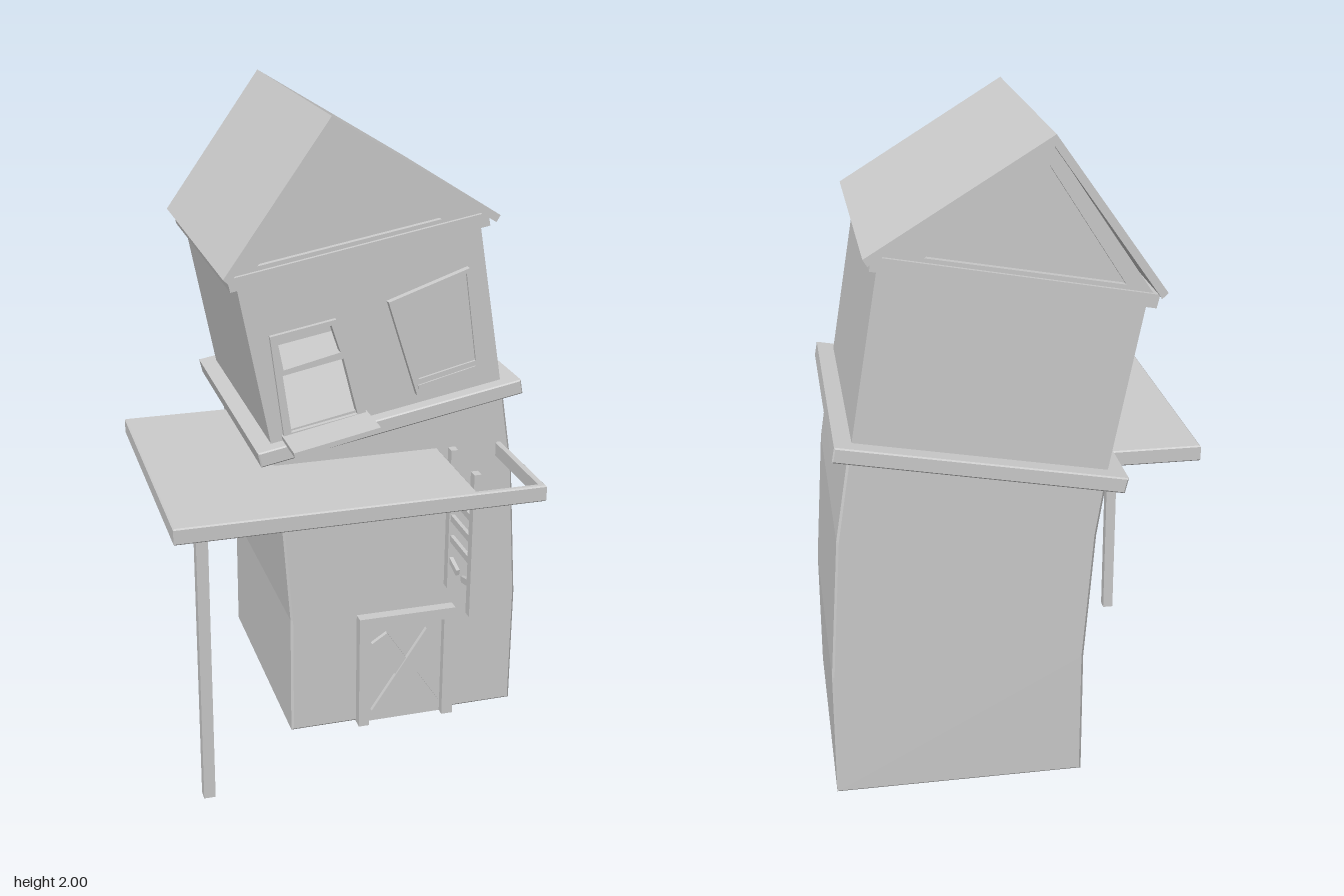
import * as THREE from 'three';

const mat = new THREE.MeshStandardMaterial({ color: 0xcccccc, flatShading: true, side: THREE.DoubleSide });

export function createModel() {
  const model = new THREE.Group();
  const add = (name, geo, parent = model) => {
    const m = new THREE.Mesh(geo, mat);
    m.name = name;
    parent.add(m);
    return m;
  };
  const v2 = pts => pts.map(p => new THREE.Vector2(p[0], p[1]));

  // Polygon in the front plane, swept from z0 to z1, with optional holes and chamfer
  const slab = (name, pts, z0, z1, holes = [], bevel = 0, parent = model) => {
    const shape = new THREE.Shape(v2(pts));
    holes.forEach(h => shape.holes.push(new THREE.Path(v2(h))));
    const geo = new THREE.ExtrudeGeometry(shape, {
      depth: z1 - z0 - 2 * bevel, bevelEnabled: bevel > 0,
      bevelSize: bevel, bevelThickness: bevel, bevelOffset: -bevel, bevelSegments: 1,
    });
    geo.translate(0, 0, z0 + bevel);
    return add(name, geo, parent);
  };
  // Box given by its minimum and maximum corners
  const box = (name, a, b, parent = model) => {
    const geo = new THREE.BoxGeometry(b[0] - a[0], b[1] - a[1], b[2] - a[2]);
    geo.translate((a[0] + b[0]) / 2, (a[1] + b[1]) / 2, (a[2] + b[2]) / 2);
    return add(name, geo, parent);
  };
  // Shrink a polygon towards its centre
  const inset = (pts, k) => {
    const cx = pts.reduce((s, p) => s + p[0], 0) / pts.length;
    const cy = pts.reduce((s, p) => s + p[1], 0) / pts.length;
    return pts.map(([x, y]) => [cx + (x - cx) * k, cy + (y - cy) * k]);
  };

  // Leaning lower storey
  slab('lowerStorey', [
    [-0.17, 0.02], [0.58, 0.02], [0.58, 0.42], [0.55, 0.86], [0.51, 1.11],
    [-0.225, 0.98], [-0.2, 0.82], [-0.17, 0.42],
  ], -0.55, 0.24, [], 0.007);

  // Tilted ledge between the storeys
  slab('storeyLedge', [[-0.267, 0.972], [0.555, 1.125], [0.547, 1.17], [-0.278, 1.018]], -0.6, 0.285, [], 0.004);

  // Hollow upper storey with an open window
  const upper = [[-0.222, 1.0], [0.5, 1.14], [0.41, 1.67], [-0.325, 1.53]];
  const openWindow = [[-0.19, 1.05], [0.065, 1.1], [-0.03, 1.402], [-0.23, 1.365]];
  const upperStorey = new THREE.Group();
  upperStorey.name = 'upperStorey';
  model.add(upperStorey);
  slab('sideWalls', upper, -0.53, 0.22, [inset(upper, 0.95)], 0, upperStorey);
  slab('backWall', upper, -0.55, -0.53, [], 0, upperStorey);
  slab('frontWall', upper, 0.22, 0.24, [inset(openWindow, 0.92)], 0, upperStorey);

  // Open window frame with two panes missing
  slab('openWindowFrame', openWindow, 0.225, 0.255, [
    [[-0.19, 1.26], [-0.017, 1.3], [-0.045, 1.385], [-0.208, 1.352]],
    [[-0.167, 1.062], [0.037, 1.1], [-0.008, 1.28], [-0.193, 1.243]],
  ]);
  slab('windowSill', [[-0.192, 1.036], [0.072, 1.09], [0.068, 1.105], [-0.195, 1.052]], 0.22, 0.388);

  // Crooked shuttered window
  const shutter = [[0.222, 1.143], [0.423, 1.19], [0.376, 1.528], [0.127, 1.442]];
  slab('shutterFrame', shutter, 0.23, 0.262, [
    [[0.226, 1.195], [0.406, 1.238], [0.367, 1.512], [0.142, 1.435]],
  ]);
  slab('shutterPanel', inset(shutter, 0.98), 0.23, 0.254);
  slab('shutterBar', [[0.225, 1.165], [0.408, 1.21], [0.405, 1.222], [0.222, 1.177]], 0.25, 0.267);

  // Tilted cornice below the roof
  slab('cornice', [[-0.345, 1.51], [0.435, 1.652], [0.427, 1.692], [-0.354, 1.548]], -0.572, 0.262);

  // Gable with a recessed panel on both ends
  const gable = [[-0.34, 1.547], [0.42, 1.688], [-0.055, 1.968]];
  const panel = [[-0.262, 1.578], [0.288, 1.678], [-0.047, 1.912]];
  slab('gable', gable, -0.54, 0.232);
  slab('gableFrameFront', gable, 0.232, 0.25, [panel]);
  slab('gableFrameBack', gable, -0.56, -0.54, [panel]);

  // Bent roof
  slab('roof', [
    [-0.372, 1.558], [-0.355, 1.542], [-0.053, 1.968], [0.44, 1.67], [0.452, 1.69], [-0.057, 2],
  ], -0.59, 0.295);

  // Boarded door
  const door = new THREE.Group();
  door.name = 'door';
  model.add(door);
  slab('doorFrame', [
    [0.045, 0.02], [0.08, 0.02], [0.08, 0.372], [0.328, 0.372], [0.328, 0.02], [0.365, 0.02], [0.365, 0.41], [0.045, 0.41],
  ], 0.23, 0.275, [], 0, door);
  box('doorPanel', [0.08, 0.02, 0.23], [0.328, 0.372, 0.25], door);
  [1, -1].forEach((s, i) => {
    const board = add('doorBoard', new THREE.BoxGeometry(0.06, 0.33, 0.014), door);
    board.position.set(0.205, 0.19, 0.257 + i * 0.005);
    board.rotation.z = s * 0.58;
  });

  // Platform around the corner with a ladder opening, drawn flat then laid down (shape y = -z)
  const deck = slab('platform', [[-0.59, -0.595], [0.51, -0.595], [0.51, 0.265], [-0.59, 0.265]],
    0.905, 0.955, [[[0.3, -0.575], [0.492, -0.575], [0.492, -0.22], [0.3, -0.22]]], 0.004);
  deck.rotation.x = -Math.PI / 2;
  box('platformPost', [-0.51, 0, 0.46], [-0.475, 0.91, 0.495]);

  // Broken ladder
  const ladder = new THREE.Group();
  ladder.name = 'ladder';
  model.add(ladder);
  [0.31, 0.503].forEach(z => box('ladderRail', [0.308, 0.52, z], [0.33, 0.985, z + 0.03], ladder));
  [0.68, 0.75, 0.82, 0.89].forEach(y => box('ladderRung', [0.313, y, 0.32], [0.325, y + 0.022, 0.52], ladder));
  [[0.365, -1], [0.475, 1]].forEach(([z, s]) => {
    const stub = add('brokenRung', new THREE.BoxGeometry(0.012, 0.02, 0.07), ladder);
    stub.position.set(0.319, 0.61, z);
    stub.rotation.x = s * -0.25;
  });

  return model;
}
